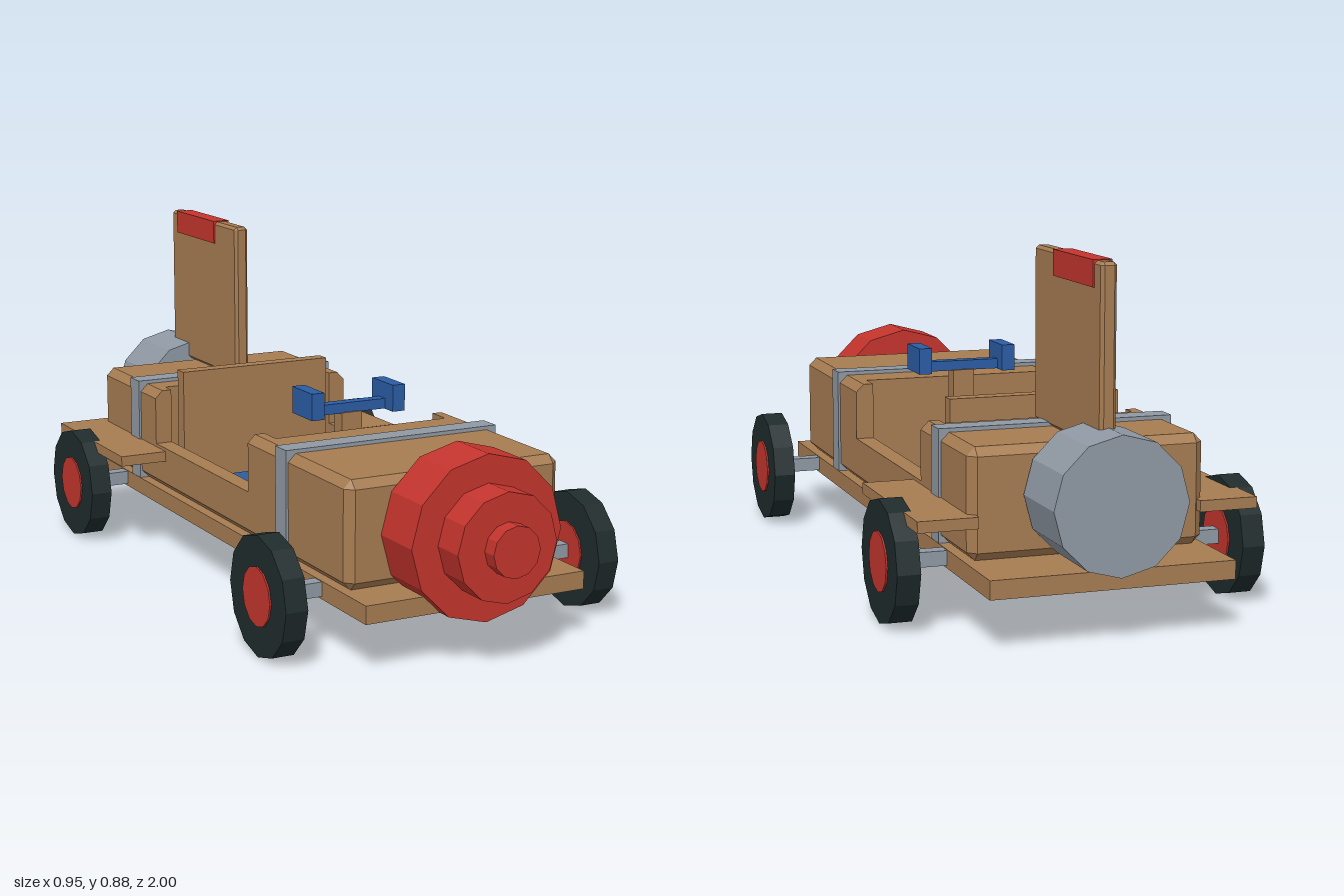
import * as THREE from 'three';
import { ConvexGeometry } from 'three/addons/geometries/ConvexGeometry.js';

const mat = (name, color) => new THREE.MeshStandardMaterial({ name, color, flatShading: true });

export function createModel() {
  const wood = mat('wood', 0xa67c52);
  const red = mat('red', 0xc4342d);
  const metal = mat('metal', 0x8f98a3);
  const blue = mat('blue', 0x2a5ca4);
  const rubber = mat('rubber', 0x1f2b2c);

  const model = new THREE.Group();
  model.name = 'soapboxCart';

  const add = (name, geometry, material, parent = model) => {
    const mesh = new THREE.Mesh(geometry, material);
    mesh.name = name;
    parent.add(mesh);
    return mesh;
  };

  // Box given by its limits on each axis
  const box = (name, material, [x0, x1], [y0, y1], [z0, z1]) => {
    const g = new THREE.BoxGeometry(x1 - x0, y1 - y0, z1 - z0);
    g.translate((x0 + x1) / 2, (y0 + y1) / 2, (z0 + z1) / 2);
    return add(name, g, material);
  };

  // Block with chamfered long edges; each end is chamfered only if asked
  const chamferBlock = (name, material, hx, [y0, y1], [z0, z1], c, backCut, frontCut) => {
    const pts = [];
    const ends = [[z0, 1, backCut], [z1, -1, frontCut]];
    for (const [z, inward, cut] of ends) {
      for (const sx of [-1, 1]) {
        for (const [y, sy] of [[y0, 1], [y1, -1]]) {
          const zo = cut ? z + inward * c : z;
          pts.push(new THREE.Vector3(sx * hx, y + sy * c, zo));
          pts.push(new THREE.Vector3(sx * (hx - c), y, zo));
          if (cut) pts.push(new THREE.Vector3(sx * (hx - c), y + sy * c, z));
        }
      }
    }
    return add(name, new ConvexGeometry(pts), material);
  };

  // Drum lying along z
  const drum = (name, material, r, y, z0, z1) => {
    const g = new THREE.CylinderGeometry(r, r, z1 - z0, 12);
    g.rotateX(Math.PI / 2).translate(0, y, (z0 + z1) / 2);
    return add(name, g, material);
  };

  // Chassis and body blocks
  box('basePlank', wood, [-0.305, 0.305], [0.127, 0.173], [-0.96, 0.83]);
  chamferBlock('frontBody', wood, 0.298, [0.173, 0.445], [0.25, 0.725], 0.021, false, true);
  chamferBlock('rearBody', wood, 0.298, [0.173, 0.445], [-0.79, -0.45], 0.021, true, false);
  box('cockpitFloor', wood, [-0.25, 0.25], [0.17, 0.19], [-0.45, 0.25]);

  // Cockpit side walls: low in the middle, full height at both ends
  const wall = (name, side, top, topCut, z0, z1) => {
    const c = 0.021, outer = 0.298;
    const s = new THREE.Shape([
      [0.25, 0.173], [outer - c, 0.173], [outer, 0.173 + c],
      [outer, top - topCut], [outer - topCut, top], [0.25, top],
    ].map(([x, y]) => new THREE.Vector2(side * x, y)));
    const g = new THREE.ExtrudeGeometry(s, { depth: z1 - z0, bevelEnabled: false });
    add(name, g.translate(0, 0, z0), wood);
  };
  for (const side of [-1, 1]) {
    wall('cockpitSide', side, 0.295, 0.0001, -0.41, 0.185);
    wall('frontCockpitPost', side, 0.445, 0.021, 0.185, 0.25);
    wall('rearCockpitPost', side, 0.445, 0.021, -0.45, -0.41);
  }

  // Seat
  box('seatBack', wood, [-0.225, 0.225], [0.185, 0.498], [-0.42, -0.38]);
  box('seatCushion', blue, [-0.2, 0.2], [0.185, 0.2], [-0.345, -0.01]);

  // Steering
  box('steeringPost', wood, [-0.03, 0.03], [0.185, 0.477], [0.15, 0.195]);
  box('steeringBar', blue, [-0.11, 0.11], [0.475, 0.502], [0.158, 0.19]);
  for (const s of [-1, 1]) {
    const x = s * 0.119;
    box('steeringGrip', blue, [x - 0.018, x + 0.018], [0.474, 0.545], [0.12, 0.232]);
  }

  // Metal straps around the body
  for (const z of [0.385, -0.545]) {
    box('strap', metal, [-0.304, 0.304], [0.173, 0.455], [z - 0.03, z + 0.03]);
  }

  // Stepped nose
  drum('noseBase', red, 0.207, 0.306, 0.725, 0.87);
  drum('noseMiddle', red, 0.136, 0.306, 0.86, 0.96);
  drum('noseTip', red, 0.064, 0.306, 0.95, 1.0);

  // Tail drum and fin
  drum('tailDrum', metal, 0.167, 0.33, -1.0, -0.8);
  chamferBlock('tailFin', wood, 0.02, [0.445, 0.88], [-0.91, -0.467], 0.008, true, true);
  box('finStripe', red, [-0.024, 0.024], [0.818, 0.882], [-0.865, -0.605]);

  // Rear mudguards
  for (const s of [-1, 1]) {
    const x = s * 0.355;
    box('mudguard', wood, [x - 0.075, x + 0.075], [0.258, 0.286], [-0.81, -0.345]);
  }

  // Axles and wheels
  for (const z of [0.59, -0.625]) {
    box('axle', metal, [-0.415, 0.415], [0.134, 0.171], [z - 0.019, z + 0.019]);
    for (const s of [-1, 1]) {
      const wheel = new THREE.Group();
      wheel.name = 'wheel';
      wheel.position.set(s * 0.44, 0.153, z);
      const tyre = new THREE.CylinderGeometry(0.153, 0.153, 0.058, 12);
      add('tyre', tyre.rotateZ(Math.PI / 2), rubber, wheel);
      const hub = new THREE.CylinderGeometry(0.075, 0.075, 0.066, 12);
      add('hub', hub.rotateZ(Math.PI / 2), red, wheel);
      model.add(wheel);
    }
  }
  return model;
}
